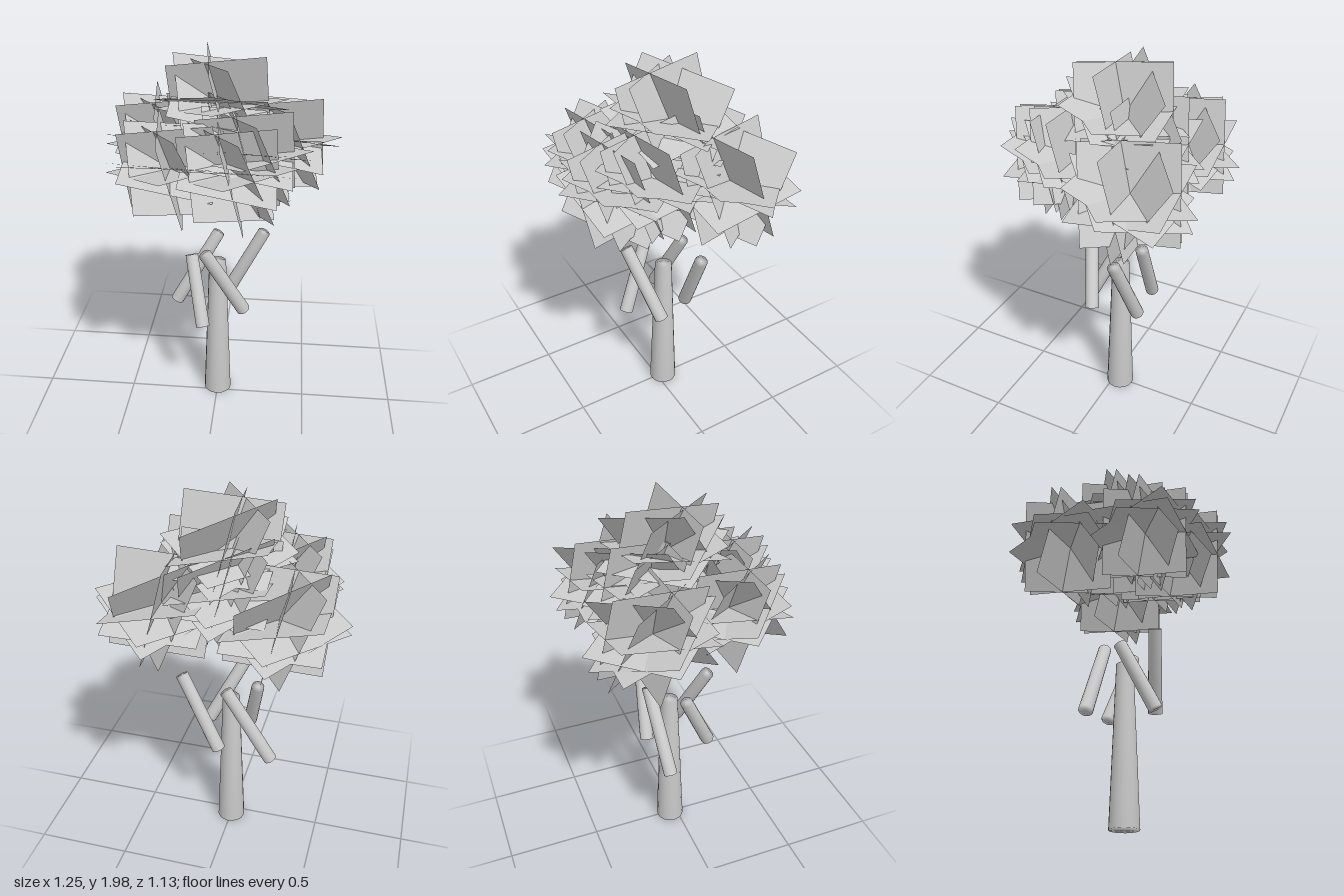
import * as THREE from 'three';
import { mergeVertices } from 'three/addons/utils/BufferGeometryUtils.js';

const bark = new THREE.MeshStandardMaterial({ color: 0xcccccc });
bark.name = 'pale grey bark';
const leaf = new THREE.MeshStandardMaterial({ color: 0xcccccc, side: THREE.DoubleSide });
leaf.name = 'pale grey leaves';

const UP = new THREE.Vector3(0, 1, 0);

// Cylinder from one point to another, shaded smoothly over its rims
function limb(name, from, to, bottomRadius, topRadius) {
  const a = new THREE.Vector3(...from), b = new THREE.Vector3(...to);
  const dir = b.clone().sub(a);
  const tube = new THREE.CylinderGeometry(topRadius, bottomRadius, dir.length(), 16);
  tube.deleteAttribute('normal');
  tube.deleteAttribute('uv');
  const geometry = mergeVertices(tube);
  geometry.computeVertexNormals();
  const mesh = new THREE.Mesh(geometry, bark);
  mesh.name = name;
  mesh.position.copy(a).add(b).multiplyScalar(0.5);
  mesh.quaternion.setFromUnitVectors(UP, dir.normalize());
  return mesh;
}

// Facing direction and spin in degrees of each square leaf card in a cluster
const cards = [
  [[-0.1, 1, -0.15], 45],   // flat diamond
  [[0.05, 1, -0.42], 45],   // diamond tipped back
  [[0, 1, -0.4], 0],        // square tipped back
  [[0.22, 1, 0.15], 2],     // nearly level square
  [[0.12, -0.3, 1], 12],    // upright, facing front
  [[1, 0.25, -0.1], 12],    // upright, facing the side
  [[0.6, 0.5, 0.6], 30],    // slanting to the front corner
  [[0.7, 0.4, -0.55], 35],  // slanting to the back corner
];

function leafCluster(center, size) {
  const cluster = new THREE.Group();
  cluster.name = 'leafCluster';
  cluster.position.set(...center);
  const square = new THREE.PlaneGeometry(size, size).rotateX(-Math.PI / 2);
  cards.forEach(([normal, spin], i) => {
    const card = new THREE.Mesh(square, leaf);
    card.name = 'leafCard' + (i + 1);
    card.quaternion.setFromUnitVectors(UP, new THREE.Vector3(...normal).normalize());
    card.rotateY(THREE.MathUtils.degToRad(spin));
    cluster.add(card);
  });
  return cluster;
}

export function createModel() {
  const tree = new THREE.Group();
  tree.name = 'tree';

  tree.add(limb('trunk', [0, 0, -0.04], [0, 0.855, -0.04], 0.077, 0.046));

  // Loose branches around the top of the trunk
  const branches = [
    [[0.04, 0.58, -0.16], [0.245, 1.0, -0.12]],
    [[0.15, 0.615, 0.06], [-0.045, 1.0, 0.16]],
    [[-0.06, 0.56, 0.165], [-0.135, 0.91, 0.005]],
    [[-0.24, 0.54, -0.125], [-0.005, 0.965, -0.16]],
  ];
  branches.forEach(([from, to], i) => tree.add(limb('branch' + (i + 1), from, to, 0.037, 0.034)));

  // Crown of crossed leaf cards
  const crown = new THREE.Group();
  crown.name = 'crown';
  const clusters = [
    [[0.01, 1.725, -0.06], 0.48],
    [[0.295, 1.48, -0.23], 0.48],
    [[-0.28, 1.47, -0.225], 0.48],
    [[-0.205, 1.48, 0.19], 0.45],
    [[0.085, 1.49, 0.24], 0.46],
    [[0.155, 1.53, 0.11], 0.46],
    [[0.0, 1.57, -0.14], 0.48],
  ];
  clusters.forEach(([center, size]) => crown.add(leafCluster(center, size)));
  tree.add(crown);
  return tree;
}
